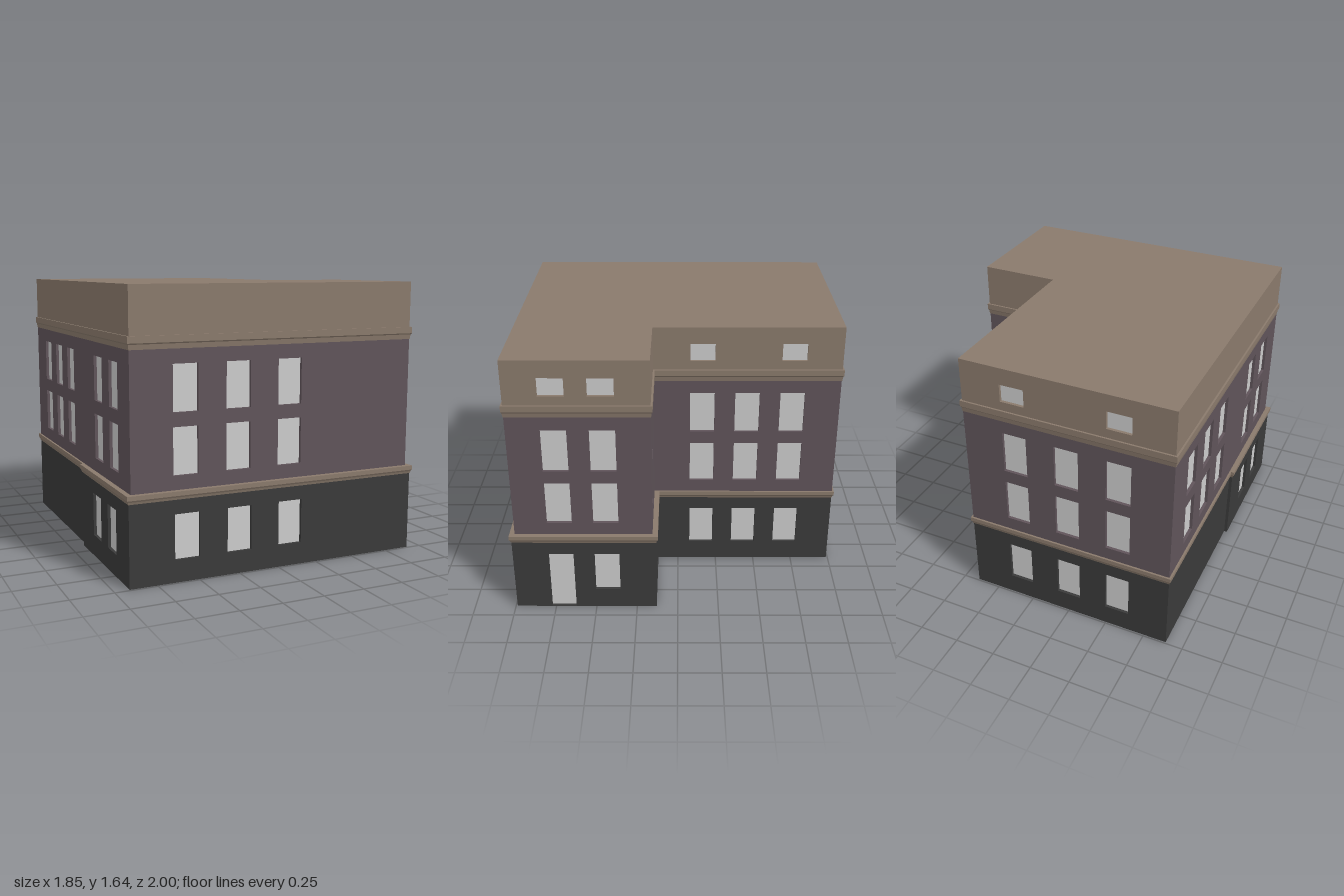
import * as THREE from 'three';
import { mergeGeometries } from 'three/addons/utils/BufferGeometryUtils.js';

const mat = (name, color, side = THREE.FrontSide) => new THREE.MeshStandardMaterial({ name, color, side });
const RECESS = 0.02;

// Footprints as [x, z] corners, walking along the front first
const UPPER = [[-0.893, 0.97], [0.893, 0.97], [0.893, 0.15], [0.4, 0.15], [0.4, -0.99], [-0.893, -0.99]];
const LOWER = [[-0.912, 0.99], [0.912, 0.99], [0.912, 0.13], [0.4, 0.13], [0.4, -0.99],
  [-0.893, -0.99], [-0.893, 0.13], [-0.912, 0.13]];

// Window column centres along x or z
const ALONG_X = [-0.57, -0.25, 0.075];
const WING = [0.7, 0.425];
const REAR = [-0.15, -0.425, -0.7];

// Each wall: start, direction, outward normal, length
function edges(plan) {
  return plan.map(([x, z], i) => {
    const [x2, z2] = plan[(i + 1) % plan.length];
    const length = Math.hypot(x2 - x, z2 - z);
    const dx = Math.round((x2 - x) / length), dz = Math.round((z2 - z) / length);
    return { x, z, dx, dz, nx: -dz, nz: dx, length };
  });
}

// Horizontal cap over a footprint
function cap(plan, y, up) {
  const s = up ? -1 : 1;
  const shape = new THREE.Shape(plan.map(([x, z]) => new THREE.Vector2(x, s * z)));
  return new THREE.ShapeGeometry(shape).rotateX(s * Math.PI / 2).translate(0, y, 0);
}

function offsetPlan(plan, o) {
  const e = edges(plan);
  return plan.map(([x, z], i) => {
    const a = e[(i + e.length - 1) % e.length], b = e[i];
    return [x + (a.nx + b.nx) * o, z + (a.nz + b.nz) * o];
  });
}

// Moulding that follows a footprint; profile is [y, offset] from bottom to top
function moulding(plan, profile) {
  const loops = profile.map(([y, o]) => offsetPlan(plan, o).map(([x, z]) => [x, y, z]));
  const pos = [];
  for (let r = 0; r + 1 < loops.length; r++) {
    plan.forEach((_, i) => {
      const j = (i + 1) % plan.length;
      const a = loops[r][i], b = loops[r][j], c = loops[r + 1][j], d = loops[r + 1][i];
      pos.push(...a, ...b, ...c, ...a, ...c, ...d);
    });
  }
  const side = new THREE.BufferGeometry();
  side.setAttribute('position', new THREE.Float32BufferAttribute(pos, 3));
  side.computeVertexNormals();
  const ends = [[0, false], [profile.length - 1, true]].map(([k, up]) => {
    const g = cap(offsetPlan(plan, profile[k][1]), profile[k][0], up).toNonIndexed();
    g.deleteAttribute('uv');
    return g;
  });
  return mergeGeometries([side, ...ends]);
}

// One storey: recessed openings cut into thin, mitred wall panels.
// openings[i] lists [centre, bottom, top] for wall i
function storey(name, plan, y0, y1, openings, wallMat, glassMat) {
  const group = new THREE.Group();
  group.name = name;
  const walls = edges(plan);
  const turn = (a, b) => Math.sign(a.dz * b.dx - a.dx * b.dz); // 1 at outer corners
  walls.forEach((w, i) => {
    const L = w.length;
    const start = turn(walls[(i + walls.length - 1) % walls.length], w);
    const end = turn(w, walls[(i + 1) % walls.length]);
    const frame = new THREE.Matrix4().makeBasis(
      new THREE.Vector3(w.dx, 0, w.dz), new THREE.Vector3(0, 1, 0), new THREE.Vector3(w.nx, 0, w.nz)
    ).setPosition(w.x, 0, w.z);
    const shape = new THREE.Shape([[0, y0], [L, y0], [L, y1], [0, y1]].map(p => new THREE.Vector2(...p)));
    const panes = [];
    for (const [c, b, t] of openings[i] || []) {
      const u = w.dx ? (c - w.x) * w.dx : (c - w.z) * w.dz, h = 0.075;
      shape.holes.push(new THREE.Path(
        [[u - h, b], [u - h, t], [u + h, t], [u + h, b]].map(p => new THREE.Vector2(...p))));
      panes.push(new THREE.PlaneGeometry(2 * h, t - b).translate(u, (b + t) / 2, 0.002 - RECESS));
    }
    const g = new THREE.ExtrudeGeometry(shape, { depth: RECESS, bevelEnabled: false }).translate(0, 0, -RECESS);
    const p = g.attributes.position;
    for (let k = 0; k < p.count; k++) {
      if (p.getZ(k) > -RECESS / 2) continue;
      if (p.getX(k) < 1e-5) p.setX(k, start * RECESS);
      else if (p.getX(k) > L - 1e-5) p.setX(k, L - end * RECESS);
    }
    const wall = new THREE.Mesh(g.applyMatrix4(frame), wallMat);
    wall.name = 'wall';
    group.add(wall);
    if (panes.length) {
      const glass = new THREE.Mesh(mergeGeometries(panes).applyMatrix4(frame), glassMat);
      glass.name = 'windowPanes';
      group.add(glass);
    }
  });
  return group;
}

export function createModel() {
  const model = new THREE.Group();
  model.name = 'cornerBuilding';
  const dark = mat('darkBase', 0x3a3a3a);
  const brick = mat('mauveBrick', 0x60545a);
  const stone = mat('brownStone', 0x8a7a6c);
  const glass = mat('paleGlass', 0xcccccc);
  const add = (name, geometry, material) => {
    const m = new THREE.Mesh(geometry, material);
    m.name = name;
    model.add(m);
  };
  const rows = (centres, ...spans) => centres.flatMap(c => spans.map(s => [c, ...s]));

  // Ground floor with the door on the right side
  const G = [0.13, 0.39];
  model.add(storey('groundFloor', LOWER, 0, 0.49, [
    rows(ALONG_X, G), [[0.7, 0.003, 0.39], [0.425, ...G]], rows([0.7], G),
    rows(REAR, G), rows(ALONG_X, G), [], [], rows(WING, G),
  ], dark, glass));
  add('underside', cap(LOWER, 0, false), dark);

  // Two brick floors
  const A = [0.6, 0.87], B = [0.95, 1.215];
  model.add(storey('brickFloors', UPPER, 0.5, 1.32, [
    rows(ALONG_X, A, B), rows(WING, A, B), rows([0.7], A, B),
    rows(REAR, A, B), rows(ALONG_X, A, B), rows([...REAR, ...WING], A, B),
  ], brick, glass));

  // Attic and flat roof
  const T = [1.425, 1.535];
  model.add(storey('attic', UPPER, 1.36, 1.64, [
    [], rows(WING, T), [], rows([-0.15, -0.7], T), rows([-0.57, 0.075], T), [],
  ], stone, glass));
  add('roof', cap(UPPER, 1.64, true), stone);

  // Mouldings between the floors
  add('lowerCornice', moulding(LOWER, [[0.472, 0.002], [0.485, 0.006], [0.495, 0.012], [0.52, 0.012]]), stone);
  add('upperCornice', moulding(UPPER, [[1.297, 0.002], [1.325, 0.006], [1.332, 0.011], [1.37, 0.011]]), stone);
  return model;
}
